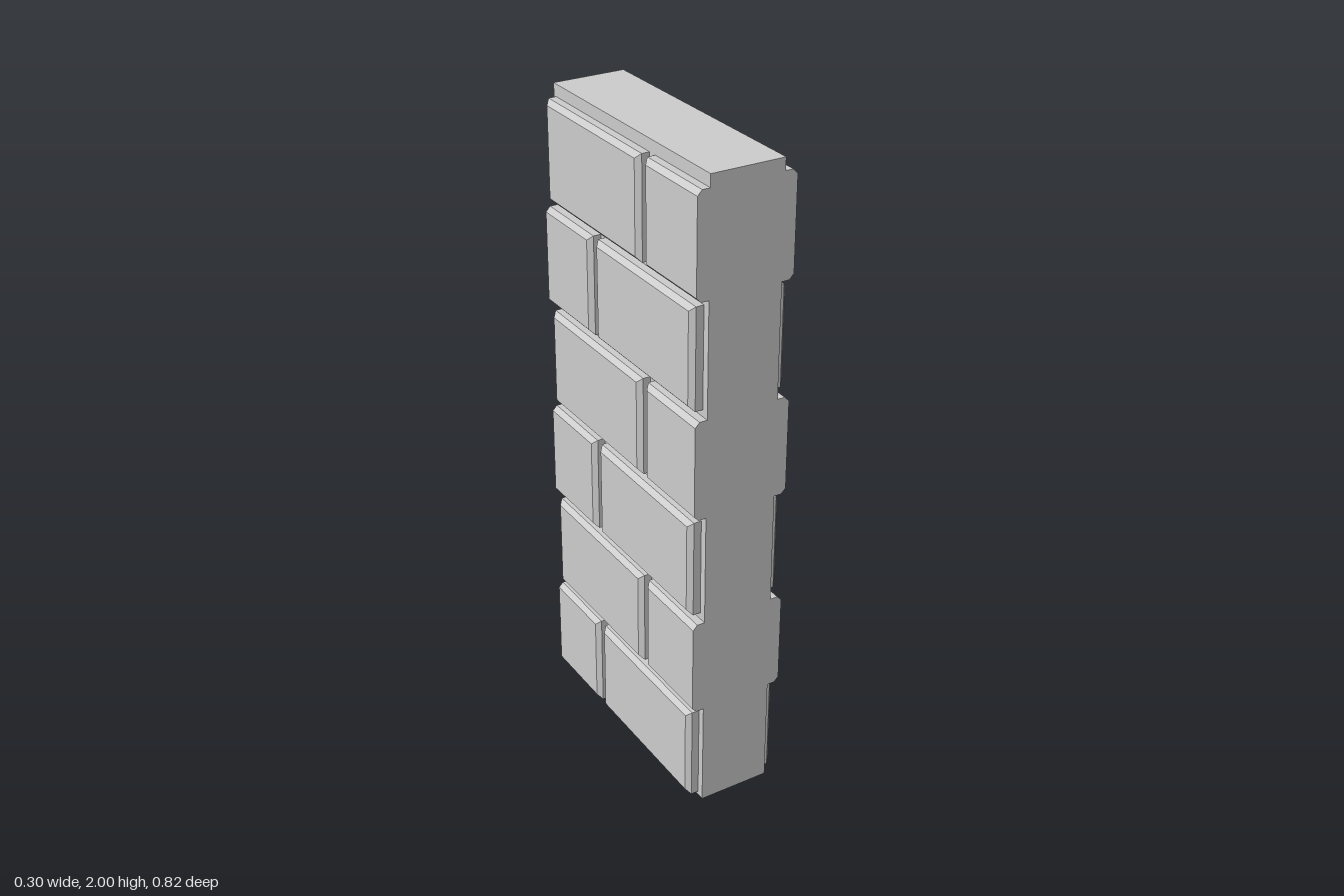
import * as THREE from 'three';

const material = new THREE.MeshStandardMaterial({ color: 0xcccccc, flatShading: true });

const HALF_DEPTH = 0.41;  // wall half length along z
const INNER = 0.1;        // brick root, sunk into the core
const SHOULDER = 0.137;   // where the chamfer starts
const OUTER = 0.151;      // brick face
const BEVEL = 0.015;
const ROWS = 6;
const PITCH = 0.3286;
const BRICK_HEIGHT = 0.308;

// Brick with a chamfered outer face; ends flush with the wall are cut square
function brick(name, side, y0, zBack, zFront) {
  const height = BRICK_HEIGHT;
  const depth = zFront - zBack;
  const geo = new THREE.BoxGeometry(2, height, depth, 2, 1, 1);
  const pos = geo.attributes.position;
  const cutBack = zBack <= -HALF_DEPTH;
  const cutFront = zFront >= HALF_DEPTH;
  for (let i = 0; i < pos.count; i++) {
    const level = Math.round(pos.getX(i) * side); // -1 root, 0 shoulder, 1 face
    let y = pos.getY(i);
    let z = pos.getZ(i);
    if (level === 1) {
      y -= Math.sign(y) * BEVEL;
      if (!(z > 0 ? cutFront : cutBack)) z -= Math.sign(z) * BEVEL;
    }
    pos.setXYZ(i, side * [INNER, SHOULDER, OUTER][level + 1],
      y + y0 + height / 2, z + (zBack + zFront) / 2);
  }
  const flat = geo.toNonIndexed();
  flat.computeVertexNormals();
  const mesh = new THREE.Mesh(flat, material);
  mesh.name = name;
  return mesh;
}

export function createModel() {
  const group = new THREE.Group();
  group.name = 'brickWall';

  // Mortar core
  const core = new THREE.Mesh(new THREE.BoxGeometry(0.226, 2, HALF_DEPTH * 2), material);
  core.name = 'mortarCore';
  core.position.y = 1;
  group.add(core);

  // Staggered courses, mirrored on both faces
  for (const side of [1, -1]) {
    const face = new THREE.Group();
    face.name = side > 0 ? 'leftBricks' : 'rightBricks';
    for (let row = 0; row < ROWS; row++) {
      const y0 = 0.012 + row * PITCH;
      if (row % 2 === 0) {
        face.add(brick('fullBrick', side, y0, -0.126, 0.387));
        face.add(brick('halfBrick', side, y0, -HALF_DEPTH, -0.153));
      } else {
        face.add(brick('fullBrick', side, y0, -0.397, 0.116));
        face.add(brick('halfBrick', side, y0, 0.144, HALF_DEPTH));
      }
    }
    group.add(face);
  }
  return group;
}
